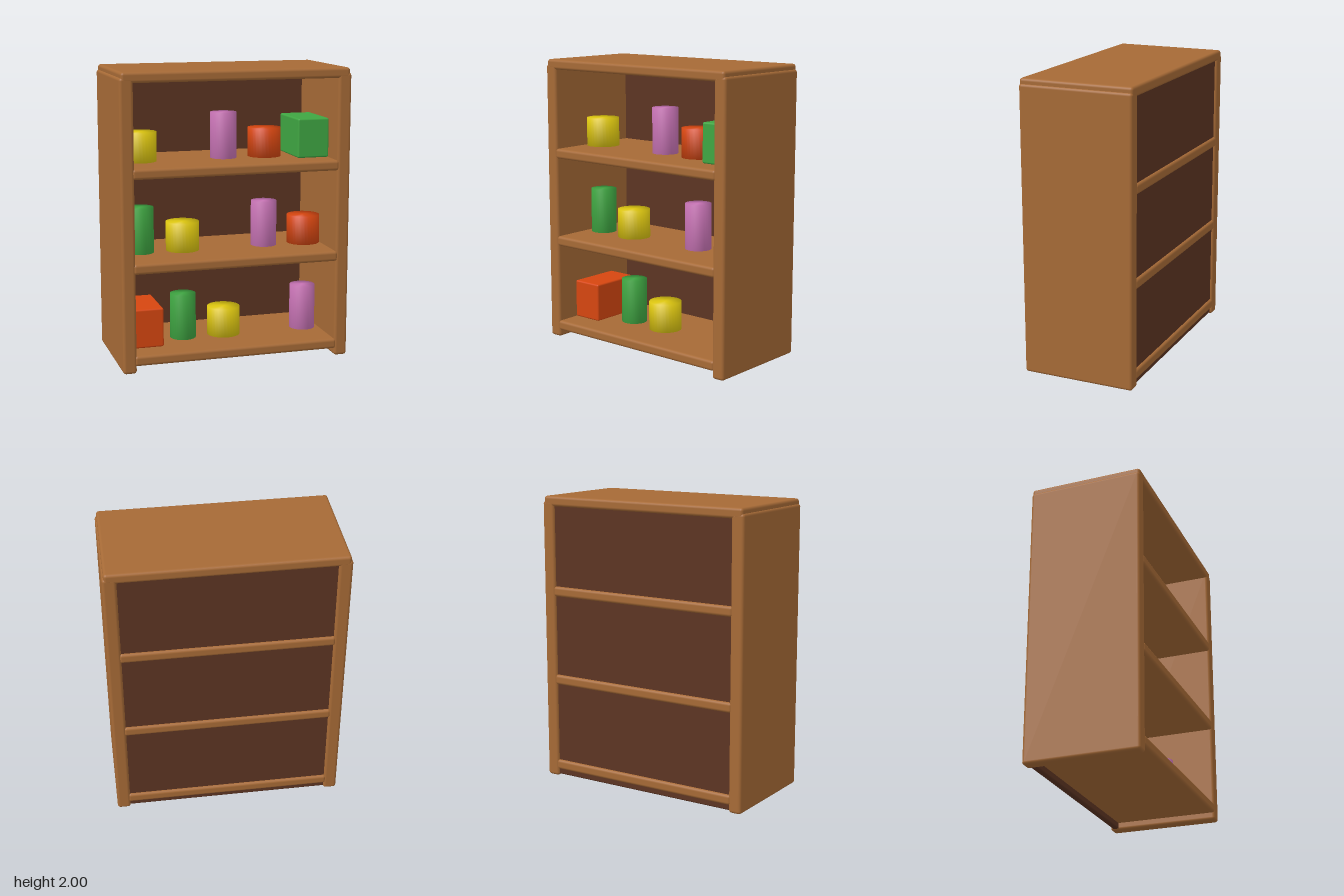
import * as THREE from 'three';
import { RoundedBoxGeometry } from 'three/addons/geometries/RoundedBoxGeometry.js';

const mat = (name, color) => {
  const m = new THREE.MeshStandardMaterial({ color });
  m.name = name;
  return m;
};

export function createModel() {
  const group = new THREE.Group();
  group.name = 'bookcase';

  const wood = mat('wood', 0xa66a36);
  const darkWood = mat('dark wood', 0x5c3422);
  const yellow = mat('yellow', 0xdfc810);
  const green = mat('green', 0x3fa642);
  const orange = mat('orange', 0xd64610);
  const pink = mat('pink', 0xc974b6);

  const add = (name, geometry, material, x, y, z) => {
    const mesh = new THREE.Mesh(geometry, material);
    mesh.name = name;
    mesh.position.set(x, y, z);
    group.add(mesh);
    return mesh;
  };
  // Rounded board between two heights
  const board = (name, material, x, y0, y1, z, w, d, r = 0.02) =>
    add(name, new RoundedBoxGeometry(w, y1 - y0, d, 3, r), material, x, (y0 + y1) / 2, z);

  // Frame
  for (const [name, s] of [['leftSide', 1], ['rightSide', -1]]) {
    board(name, wood, s * 0.747, 0, 1.965, 0, 0.092, 0.784);
  }
  board('topBoard', wood, 0, 1.93, 2, 0, 1.564, 0.784);
  board('backPanel', darkWood, 0, 0.01, 1.95, -0.352, 1.42, 0.045, 0.01);

  // Shelves
  const shelfTops = [0.12, 0.745, 1.375];
  shelfTops.forEach((y) => board('shelf', wood, 0, y - 0.07, y, 0, 1.43, 0.786));

  // Objects on the shelves, with soft shading over the rims
  const z = 0.035;
  const round = (name, material, radius, height, x, shelf) => {
    const profile = [[0, 0], [radius, 0], [radius, height], [0, height]]
      .map(([px, py]) => new THREE.Vector2(px, py));
    add(name, new THREE.LatheGeometry(profile, 32), material, x, shelfTops[shelf], z);
  };
  const jar = (material, x, shelf) => round('jar', material, 0.09, 0.315, x, shelf);
  const bowl = (material, x, shelf) => round('bowl', material, 0.115, 0.2, x, shelf);
  const box = (material, x, shelf) =>
    board('box', material, x, shelfTops[shelf], shelfTops[shelf] + 0.27, z, 0.224, 0.38, 0.012);

  box(orange, -0.588, 0);
  jar(green, -0.294, 0);
  bowl(yellow, 0, 0);
  jar(pink, 0.588, 0);

  jar(green, -0.588, 1);
  bowl(yellow, -0.294, 1);
  jar(pink, 0.294, 1);
  bowl(orange, 0.588, 1);

  bowl(yellow, -0.588, 2);
  jar(pink, 0, 2);
  bowl(orange, 0.294, 2);
  box(green, 0.588, 2);

  return group;
}
